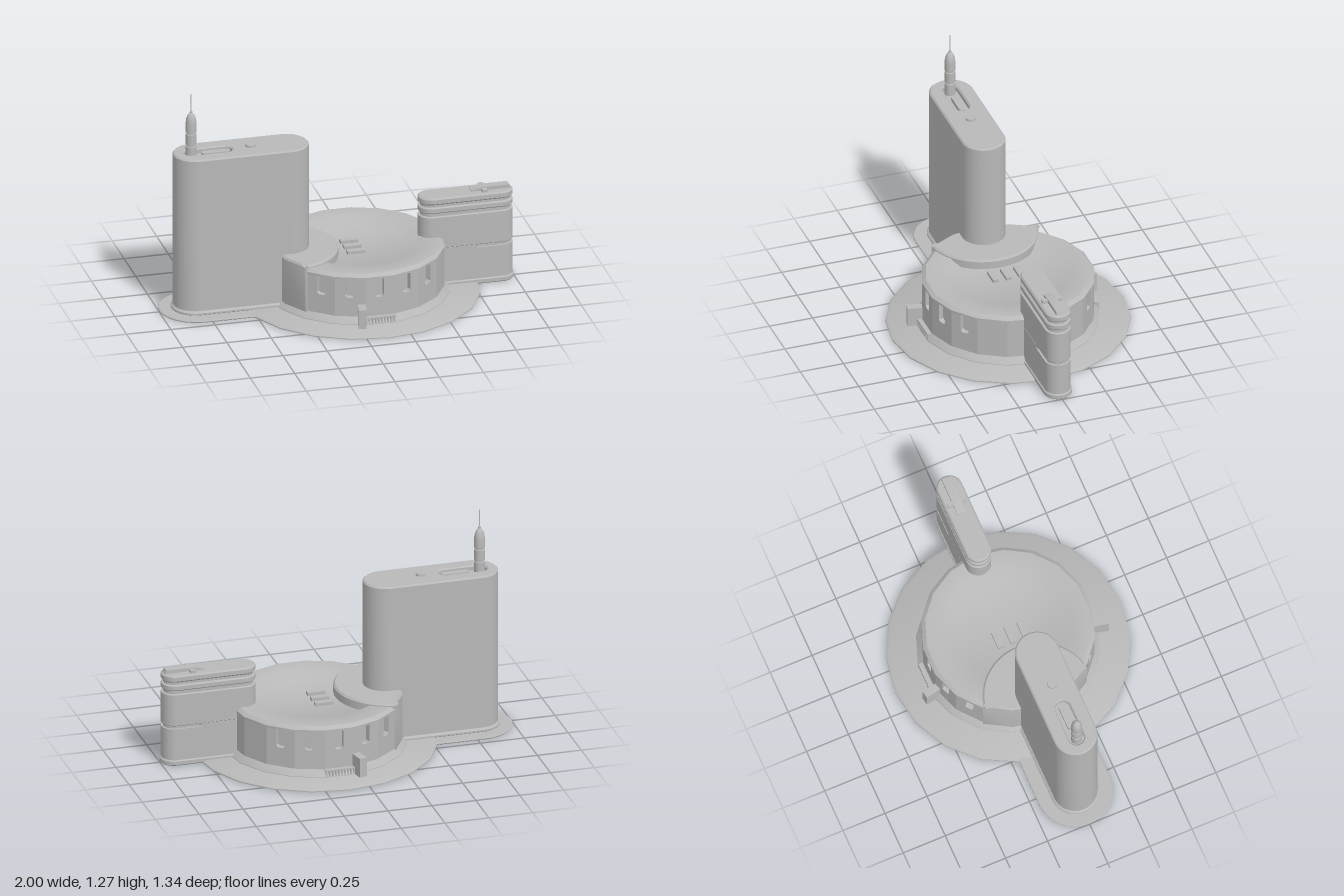
import * as THREE from 'three';
import { toCreasedNormals } from 'three/addons/utils/BufferGeometryUtils.js';

const DEG = Math.PI / 180;
const CX = 0.12; // centre of the round hall

export function createModel() {
  const model = new THREE.Group();
  const grey = new THREE.MeshStandardMaterial({ color: 0xb8b8b8 });

  const add = (name, geo, parent = model) => {
    const mesh = new THREE.Mesh(toCreasedNormals(geo, 0.6), grey);
    mesh.name = name;
    parent.add(mesh);
    return mesh;
  };
  // plan outline with two round ends, from x0 to x1
  const stadium = (x0, x1, r, Type = THREE.Shape) => {
    const s = new Type();
    s.absarc(x1 - r, 0, r, -Math.PI / 2, Math.PI / 2, false);
    s.absarc(x0 + r, 0, r, Math.PI / 2, Math.PI * 1.5, false);
    s.closePath();
    return s;
  };
  // raise a plan outline from y0 to y1, with an optional bevel
  const raise = (shape, y0, y1, b = 0) => {
    const g = new THREE.ExtrudeGeometry(shape, {
      depth: y1 - y0 - 2 * b, curveSegments: 16, bevelEnabled: b > 0,
      bevelSize: b, bevelThickness: b, bevelOffset: -b, bevelSegments: 1,
    });
    return g.rotateX(-Math.PI / 2).translate(0, y0 + b, 0);
  };
  const lathe = (pts, sides, start = 0) =>
    new THREE.LatheGeometry(pts.map(p => new THREE.Vector2(...p)), sides, start);
  const box = (x0, x1, y0, y1, z0, z1) => new THREE.BoxGeometry(x1 - x0, y1 - y0, z1 - z0)
    .translate((x0 + x1) / 2, (y0 + y1) / 2, (z0 + z1) / 2);

  // ground slabs
  add('roundBase', lathe([[0, 0], [0.67, 0], [0.67, 0.006], [0.655, 0.015], [0, 0.015]], 20)
    .translate(CX, 0, 0));
  add('towerBase', raise(stadium(-1, -0.2, 0.21), 0, 0.012, 0.004));

  // round hall: flared foot, core, roof with a sunken bowl
  add('hallFoot', lathe([[0.505, 0.012], [0.505, 0.018], [0.475, 0.052], [0.44, 0.052]], 18, Math.PI / 2)
    .translate(CX, 0, 0));
  add('hallCore', lathe([[0.445, 0.01], [0.445, 0.285]], 18, Math.PI / 2).translate(CX, 0, 0));
  add('hallRoof', lathe([[0.44, 0.272], [0.477, 0.272], [0.477, 0.283], [0.455, 0.3],
    [0.35, 0.3], [0.285, 0.262], [0, 0.262]], 18, Math.PI / 2).translate(CX, 0, 0));

  // wall panels, with window recesses front and back
  const walls = new THREE.Group();
  walls.name = 'hallWalls';
  model.add(walls);
  const half = 0.475 * Math.sin(10 * DEG);
  for (let a = 0; a < 360; a += 20) {
    if (a > 230 && a < 310) continue;
    const panel = new THREE.Shape([[-half, 0.04], [half, 0.04], [half, 0.275], [-half, 0.275]]
      .map(p => new THREE.Vector2(...p)));
    if (Math.abs(Math.sin(a * DEG)) < 0.7) {
      const win = new THREE.Path();
      win.moveTo(0.025, 0.27).lineTo(-0.025, 0.27).lineTo(-0.025, 0.172)
        .lineTo(-0.015, 0.162).lineTo(0.015, 0.162).lineTo(0.025, 0.172).closePath();
      panel.holes.push(win);
    }
    const wall = add('wallPanel', new THREE.ExtrudeGeometry(panel, { depth: 0.032, bevelEnabled: false })
      .translate(0, 0, 0.468 - 0.032), walls);
    wall.position.x = CX;
    wall.rotation.y = a * DEG;
  }

  // raised block between hall and tower
  const link = new THREE.Shape();
  link.absarc(-0.31, 0, 0.31, -80 * DEG, 80 * DEG, false);
  for (let a = 140; a <= 220; a += 20) {
    link.lineTo(CX + 0.482 * Math.cos(a * DEG), 0.482 * Math.sin(a * DEG));
  }
  add('linkBlock', raise(link, 0.005, 0.316, 0.01));

  // three ribs in the bowl
  for (const z of [-0.075, 0, 0.075]) {
    add('bowlRib', box(0.04, 0.14, 0.25, 0.28, z - 0.017, z + 0.017));
  }

  // entrance piers and grilles, front and back
  for (const s of [1, -1]) {
    const pier = add('entrancePier', box(-0.022, 0.022, 0.005, 0.125, 0.45, 0.557));
    pier.position.x = CX;
    pier.rotation.y = s > 0 ? -12 * DEG : Math.PI + 12 * DEG;
    add('grilleRail', box(0.035, 0.205, 0.048, 0.056, s * 0.485 - 0.012, s * 0.485 + 0.012));
    for (let i = 0; i < 10; i++) {
      const x = 0.04 + i * 0.0175;
      add('grilleBar', box(x - 0.004, x + 0.004, 0.014, 0.05, s * 0.487 - 0.01, s * 0.487 + 0.01));
    }
  }

  // tall tower with a slotted top
  add('towerFoot', raise(stadium(-0.932, -0.15, 0.134), 0.005, 0.034, 0.01));
  add('towerBody', raise(stadium(-0.92, -0.16, 0.122), 0.01, 0.9));
  const cap = stadium(-0.92, -0.16, 0.122);
  cap.holes.push(stadium(-0.86, -0.59, 0.042, THREE.Path));
  add('towerCap', raise(cap, 0.89, 0.93, 0.008));
  add('slotInsert', raise(stadium(-0.76, -0.6, 0.02), 0.895, 0.922));
  add('roofButton', new THREE.CylinderGeometry(0.026, 0.028, 0.02, 20).translate(-0.485, 0.932, 0));

  // rocket-shaped mast
  add('mast', lathe([[0.03, 0.89], [0.03, 0.97], [0.025, 0.972], [0.025, 0.98], [0.03, 0.982],
    [0.03, 1.042], [0.025, 1.044], [0.025, 1.052], [0.03, 1.054], [0.03, 1.105], [0.027, 1.13],
    [0.02, 1.15], [0.01, 1.163], [0.007, 1.165], [0.007, 1.175], [0.003, 1.178],
    [0.0025, 1.275], [0, 1.275]], 20).translate(-0.82, 0, 0));

  // low tower: stacked layers [bottom, top, inset, bevel]
  add('lowTowerFoot', raise(stadium(0.45, 1, 0.079), 0, 0.032, 0.006));
  const layers = [[0.02, 0.215, 0, 0], [0.215, 0.232, 0.012, 0], [0.232, 0.42, 0, 0.004],
    [0.42, 0.44, 0.013, 0], [0.44, 0.475, 0, 0.006], [0.475, 0.49, 0.013, 0], [0.49, 0.53, 0, 0.008]];
  for (const [y0, y1, d, b] of layers) {
    add('lowTowerLayer', raise(stadium(0.46 + d, 0.992 - d, 0.072 - d), y0, y1, b));
  }
  // fills the left part of the lowest groove, leaving a slot at the right
  add('grooveFill', raise(stadium(0.46, 0.83, 0.072), 0.214, 0.233));

  // stepped hatch on the low tower
  const hatch = new THREE.Shape([[0.755, 0.525], [0.98, 0.525], [0.97, 0.55], [0.815, 0.55], [0.755, 0.535]]
    .map(p => new THREE.Vector2(...p)));
  add('roofHatch', new THREE.ExtrudeGeometry(hatch, { depth: 0.05, bevelEnabled: false }).translate(0, 0, -0.025));
  add('hatchCross', box(0.81, 0.84, 0.52, 0.545, -0.055, 0.055));

  return model;
}
